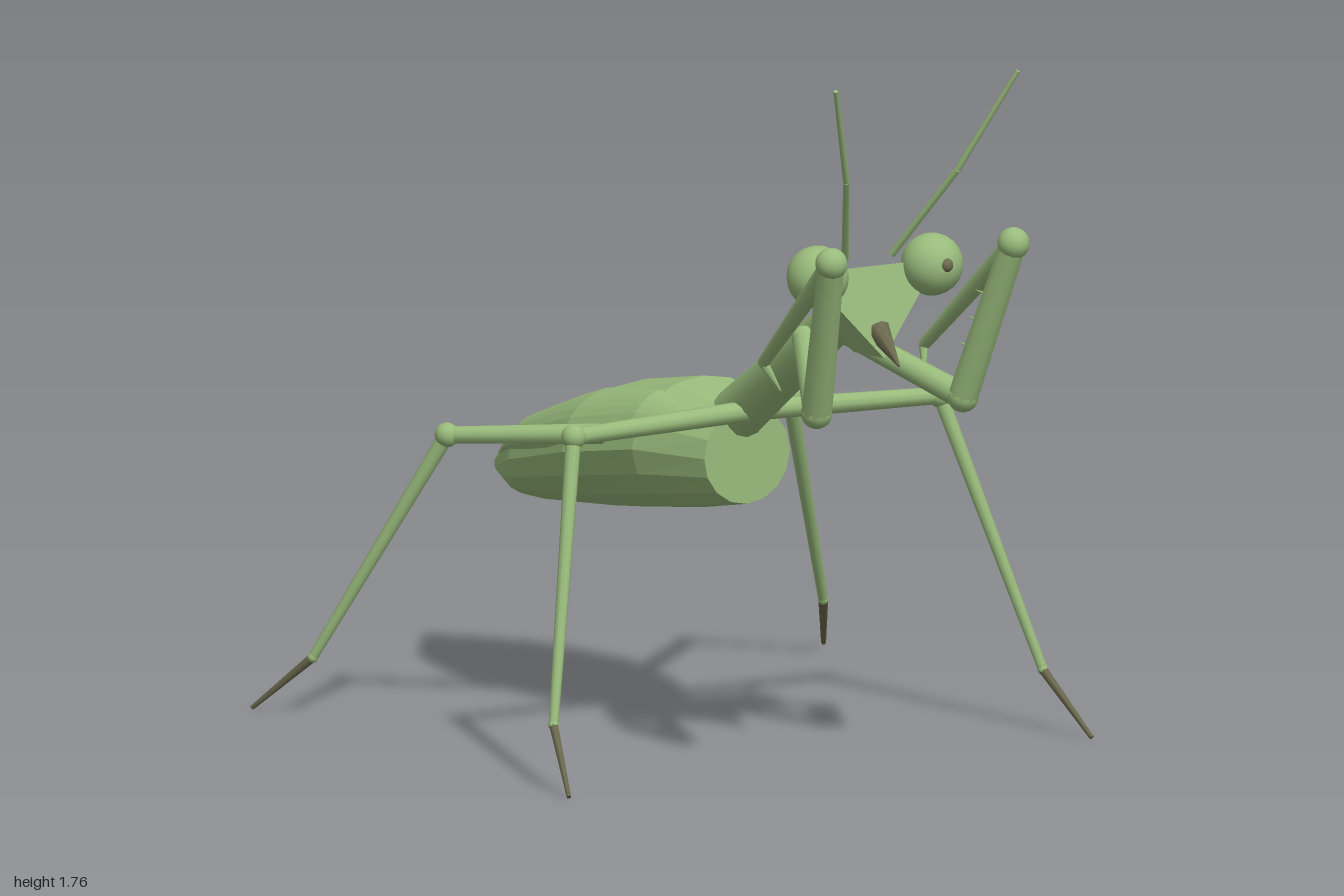
import * as THREE from 'three';

const green = new THREE.MeshStandardMaterial({ color: 0x99bb7c });
green.name = 'leafGreen';
const dark = new THREE.MeshStandardMaterial({ color: 0x6c6a4e });
dark.name = 'darkOlive';

const V = (x, y, z) => new THREE.Vector3(x, y, z);

function add(parent, name, geo, mat = green) {
  const m = new THREE.Mesh(geo, mat);
  m.name = name;
  parent.add(m);
  return m;
}

function flat(geo) {
  const g = geo.index ? geo.toNonIndexed() : geo;
  g.computeVertexNormals();
  return g;
}

// Tapered rod between two points
function rod(parent, name, a, b, r0, r1, sides = 10, mat = green) {
  const d = b.clone().sub(a);
  const m = add(parent, name, new THREE.CylinderGeometry(r1, r0, d.length(), sides), mat);
  m.position.copy(a).addScaledVector(d, 0.5);
  m.quaternion.setFromUnitVectors(V(0, 1, 0), d.normalize());
}

function ball(parent, name, p, r, mat = green) {
  add(parent, name, new THREE.SphereGeometry(r, 18, 12), mat).position.copy(p);
}

// Faceted surface over a grid of points
function grid(rows, cols, point) {
  const pos = [], idx = [];
  for (let i = 0; i <= rows; i++)
    for (let j = 0; j <= cols; j++) pos.push(...point(i / rows, j / cols, i));
  for (let i = 0; i < rows; i++)
    for (let j = 0; j < cols; j++) {
      const a = i * (cols + 1) + j, b = a + cols + 1;
      idx.push(a, a + 1, b, a + 1, b + 1, b);
    }
  const g = new THREE.BufferGeometry();
  g.setAttribute('position', new THREE.Float32BufferAttribute(pos, 3));
  g.setIndex(idx);
  return flat(g);
}

// Abdomen stations: z, half width, bottom, top
const stations = [
  [0.145, 0.12, 0.588, 0.829],
  [-0.06, 0.2, 0.546, 0.868],
  [-0.33, 0.233, 0.503, 0.815],
  [-0.69, 0.17, 0.46, 0.69],
  [-0.84, 0.1, 0.448, 0.615],
  [-1, 0.02, 0.476, 0.524],
];

function sectionAt(z) {
  let i = 0;
  while (i < stations.length - 2 && z < stations[i + 1][0]) i++;
  const a = stations[i], b = stations[i + 1];
  const t = (z - a[0]) / (b[0] - a[0]);
  return a.map((v, k) => v + (b[k] - v) * t);
}

function onSection([z, w, lo, hi], angle, out = 0) {
  return [
    (w + out) * Math.sin(angle),
    (lo + hi) / 2 + ((hi - lo) / 2 + out) * Math.cos(angle),
    z,
  ];
}

function buildAbdomen(root) {
  // A collapsed ring at each end closes the body
  const collapse = ([z, , lo, hi]) => [z, 0, (lo + hi) / 2, (lo + hi) / 2];
  const rings = [collapse(stations[0]), ...stations, collapse(stations[5])];
  add(root, 'abdomen', grid(rings.length - 1, 16,
    (u, v, i) => onSection(rings[i], v * Math.PI * 2)));

  // Folded wings lie along the upper flanks, with raised edges
  for (const s of [1, -1]) {
    add(root, s > 0 ? 'leftWing' : 'rightWing', grid(8, 8, (u, v) => {
      const sec = sectionAt(0.05 - 0.98 * u);
      const span = 0.2 + 0.38 * Math.sin(Math.PI * Math.min(1, u * 0.9 + 0.08));
      const angle = s * 0.92 + (v * 2 - 1) * span;
      const edge = Math.sin(Math.PI * v) * Math.sin(Math.PI * (0.04 + u * 0.92));
      return onSection(sec, angle, -0.008 + 0.026 * Math.pow(Math.max(0, edge), 0.35));
    }));
  }
}

function buildHead(root) {
  // Triangular head, point down, leaning forward
  const geo = new THREE.CylinderGeometry(1, 0.82, 0.14, 3);
  geo.rotateX(Math.PI / 2);
  geo.scale(0.215, 0.149, 1);
  const head = add(root, 'head', flat(geo));
  head.position.set(0, 1.177, 0.679);
  head.rotation.x = -0.245;
  rod(root, 'mouth', V(0, 1.115, 0.755), V(0, 1.042, 0.853), 0.03, 0.003, 8, dark);
}

function buildSide(root, s) {
  const side = new THREE.Group();
  side.name = s > 0 ? 'leftSide' : 'rightSide';
  root.add(side);
  const P = (x, y, z) => V(s * x, y, z);

  ball(side, 'eye', P(0.16, 1.257, 0.74), 0.076);
  ball(side, 'pupil', P(0.16, 1.265, 0.805), 0.018, dark);

  // Antenna
  const mid = P(0.155, 1.508, 0.866);
  rod(side, 'antennaBase', P(0.065, 1.285, 0.71), mid, 0.009, 0.008, 6);
  rod(side, 'antennaTip', mid, P(0.255, 1.76, 0.983), 0.008, 0.006, 6);

  // Grasping foreleg
  const shoulder = P(0.06, 1.06, 0.51), elbow = P(0.205, 0.94, 0.81);
  const wrist = P(0.255, 1.335, 0.962), hook = P(0.225, 1.03, 0.595);
  ball(side, 'foreShoulder', shoulder, 0.03);
  rod(side, 'foreCoxa', shoulder, elbow, 0.028, 0.032);
  ball(side, 'foreElbow', elbow, 0.038);
  rod(side, 'foreFemur', elbow, wrist, 0.038, 0.033);
  ball(side, 'foreWrist', wrist, 0.039);
  rod(side, 'foreTibia', wrist, hook, 0.026, 0.015);
  rod(side, 'foreClaw', hook, P(0.2, 0.965, 0.635), 0.013, 0.002, 6);
  for (let i = 0; i < 3; i++) {
    const a = elbow.clone().lerp(wrist, 0.3 + i * 0.17);
    rod(side, 'foreSpine', a, a.clone().add(P(-0.015, 0.012, -0.065)), 0.008, 0.001, 5);
  }

  // Walking legs: hip, knee, ankle, toe
  const legs = {
    middle: [P(0.03, 0.825, 0.19), P(0.513, 0.81, 0.19), P(0.685, 0.155, 0.383), P(0.732, 0.008, 0.533)],
    hind: [P(0.21, 0.725, -0.19), P(0.48, 0.705, -0.455), P(0.715, 0.145, -0.69), P(0.8, 0.008, -0.83)],
  };
  for (const [name, [hip, knee, ankle, toe]] of Object.entries(legs)) {
    ball(side, name + 'Hip', hip, 0.025);
    rod(side, name + 'Femur', hip, knee, 0.026, 0.021);
    ball(side, name + 'Knee', knee, 0.03);
    rod(side, name + 'Tibia', knee, ankle, 0.019, 0.012);
    ball(side, name + 'Ankle', ankle, 0.013);
    rod(side, name + 'Foot', ankle, toe, 0.012, 0.006, 6, dark);
  }
}

export function createModel() {
  const root = new THREE.Group();
  root.name = 'mantis';
  buildAbdomen(root);
  rod(root, 'thorax', V(0, 0.8, 0.1), V(0, 1.147, 0.627), 0.066, 0.05, 14);
  buildHead(root);
  buildSide(root, 1);
  buildSide(root, -1);
  return root;
}
